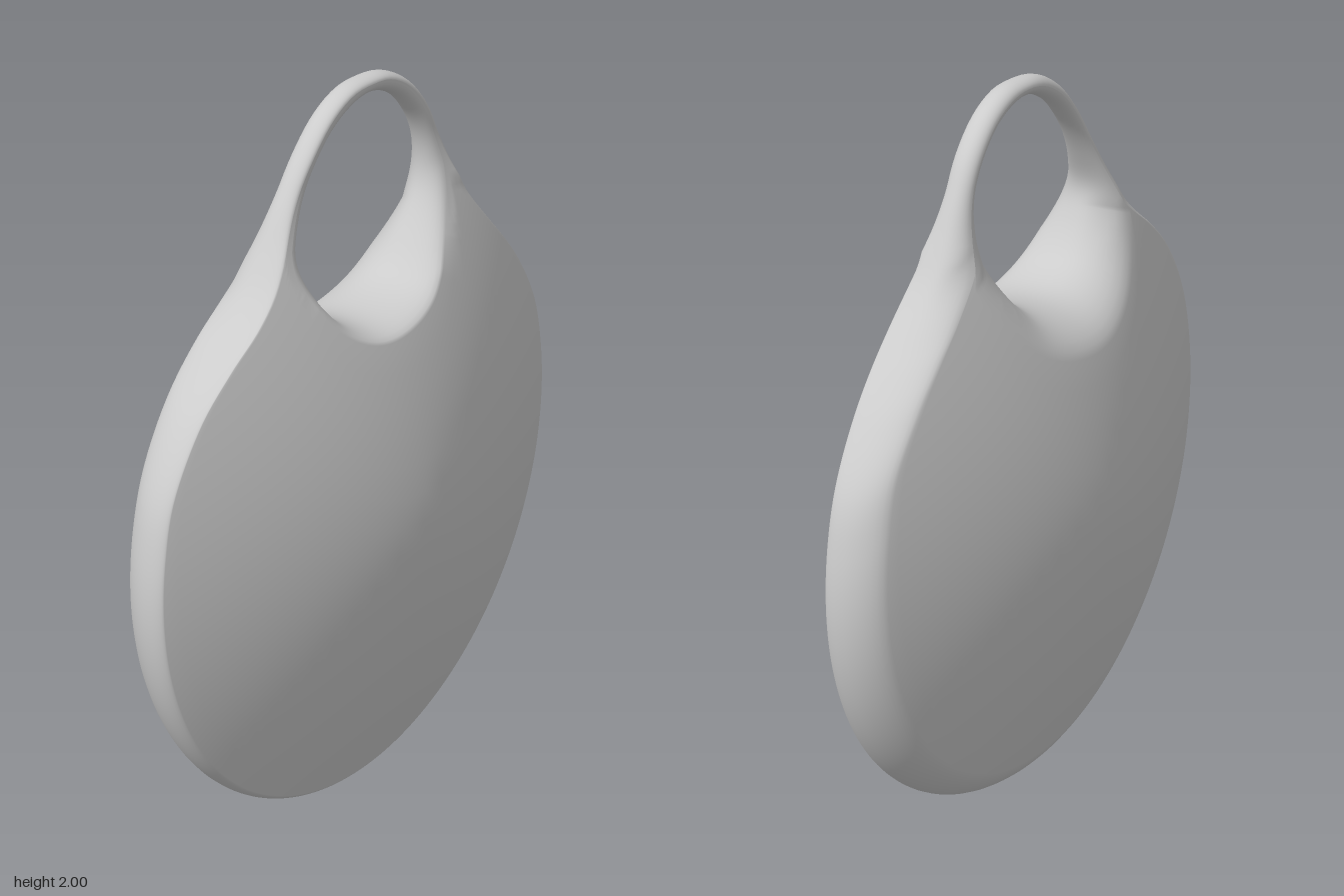
import * as THREE from 'three';

const RAYS = 220;
const BODY_Y = 0.862, BODY_R = 0.862;
const CENTER = new THREE.Vector2(0.01, 1.68);

// Closed smooth curve through [x, y] points, sampled evenly
function closedCurve(points, count) {
  const curve = new THREE.CatmullRomCurve3(points.map(([x, y]) => new THREE.Vector3(x, y, 0)), true);
  return curve.getSpacedPoints(count).slice(0, count);
}

// Outer outline, clockwise: loop handle, right shoulder, round body, left shoulder
function outerOutline() {
  const pts = [[0.05, 2], [0.13, 1.993], [0.22, 1.95], [0.3, 1.87], [0.35, 1.78], [0.4, 1.68],
    [0.46, 1.58], [0.55, 1.48], [0.63, 1.4], [0.71, 1.31]];
  for (let a = 20; a >= -200; a -= 10) {
    const t = THREE.MathUtils.degToRad(a);
    pts.push([BODY_R * Math.cos(t), BODY_Y + BODY_R * Math.sin(t)]);
  }
  pts.push([-0.71, 1.32], [-0.6, 1.425], [-0.5, 1.5], [-0.43, 1.565], [-0.37, 1.645],
    [-0.3, 1.755], [-0.22, 1.86], [-0.13, 1.945], [-0.04, 1.99]);
  return closedCurve(pts, RAYS);
}

// Finger hole, returned as a function giving its radius in a direction
function holeRadius() {
  const polar = closedCurve([[0.04, 1.955], [0.17, 1.92], [0.26, 1.83], [0.295, 1.74], [0.29, 1.65],
    [0.22, 1.53], [0.13, 1.44], [0, 1.4], [-0.1, 1.405], [-0.19, 1.45], [-0.26, 1.54],
    [-0.285, 1.62], [-0.25, 1.72], [-0.18, 1.83], [-0.09, 1.91]], 400)
    .map(p => [Math.atan2(p.y - CENTER.y, p.x - CENTER.x), Math.hypot(p.x - CENTER.x, p.y - CENTER.y)])
    .sort((a, b) => a[0] - b[0]);
  const n = polar.length;
  return angle => {
    let k = polar.findIndex(p => p[0] > angle);
    if (k < 0) k = 0;
    const [a1, r1] = polar[k], [a0, r0] = polar[(k + n - 1) % n];
    const turn = 2 * Math.PI;
    const f = ((angle - a0 + turn) % turn) / ((a1 - a0 + turn) % turn);
    return r0 + (r1 - r0) * f;
  };
}

// Half thickness: shallow dome, thinning towards the handle
function halfThickness(x, y) {
  const r = Math.min(1, Math.hypot(x, y - BODY_Y) / BODY_R);
  const dome = 0.06 + 0.2 * (1 - r ** 1.6);
  const neck = 0.034 + 0.135 * Math.max(0, (1.8 - y) / 0.4) ** 1.7;
  return Math.min(dome, neck);
}

// One face of a cross-section from hole edge to rim: [distance, fullness]
function faceProfile(width, inner, outer) {
  const a = Math.min(inner, width / 2), b = Math.min(outer, width / 2), out = [];
  const N = 8, M = 16;
  for (let i = 0; i <= N; i++) {
    const t = (i / N) * Math.PI / 2;
    out.push([a * (1 - Math.cos(t)), Math.sin(t)]);
  }
  for (let i = 1; i < M; i++) out.push([a + (width - a - b) * i / M, 1]);
  for (let i = N; i >= 0; i--) {
    const t = (i / N) * Math.PI / 2;
    out.push([width - b * (1 - Math.cos(t)), Math.sin(t)]);
  }
  return out;
}

function bodyGeometry() {
  const radiusAt = holeRadius();
  const positions = [], index = [];
  let ring = 0;
  for (const p of outerOutline()) {
    const dx = p.x - CENTER.x, dy = p.y - CENTER.y;
    const angle = Math.atan2(dy, dx), reach = Math.hypot(dx, dy);
    const hole = radiusAt(angle), width = reach - hole;
    const add = (d, full, side) => {
      const x = CENTER.x + Math.cos(angle) * (hole + d);
      const y = CENTER.y + Math.sin(angle) * (hole + d);
      const mid = 0.025 * THREE.MathUtils.clamp((1.6 - y) / 0.2, 0, 1) * d / width;
      positions.push(x, y, mid + (side * halfThickness(x, y) - mid) * full);
    };
    // crisp front rim, softly rounded back rim
    const front = faceProfile(width, 0.045, 0.018);
    const back = faceProfile(width, 0.12, 0.09).reverse().slice(1, -1);
    front.forEach(([d, f]) => add(d, f, 1));
    back.forEach(([d, f]) => add(d, f, -1));
    ring = front.length + back.length;
  }
  for (let j = 0; j < RAYS; j++) {
    const j1 = (j + 1) % RAYS;
    for (let i = 0; i < ring; i++) {
      const i1 = (i + 1) % ring;
      const a = j * ring + i, b = j1 * ring + i, c = j1 * ring + i1, d = j * ring + i1;
      index.push(a, b, d, b, c, d);
    }
  }
  const geometry = new THREE.BufferGeometry();
  geometry.setAttribute('position', new THREE.Float32BufferAttribute(positions, 3));
  geometry.setIndex(index);
  geometry.computeVertexNormals();
  return geometry;
}

export function createModel() {
  const group = new THREE.Group();
  group.name = 'loopedDisc';
  const body = new THREE.Mesh(bodyGeometry(), new THREE.MeshStandardMaterial({ color: 0xcccccc }));
  body.name = 'discWithHandleLoop';
  group.add(body);
  return group;
}
